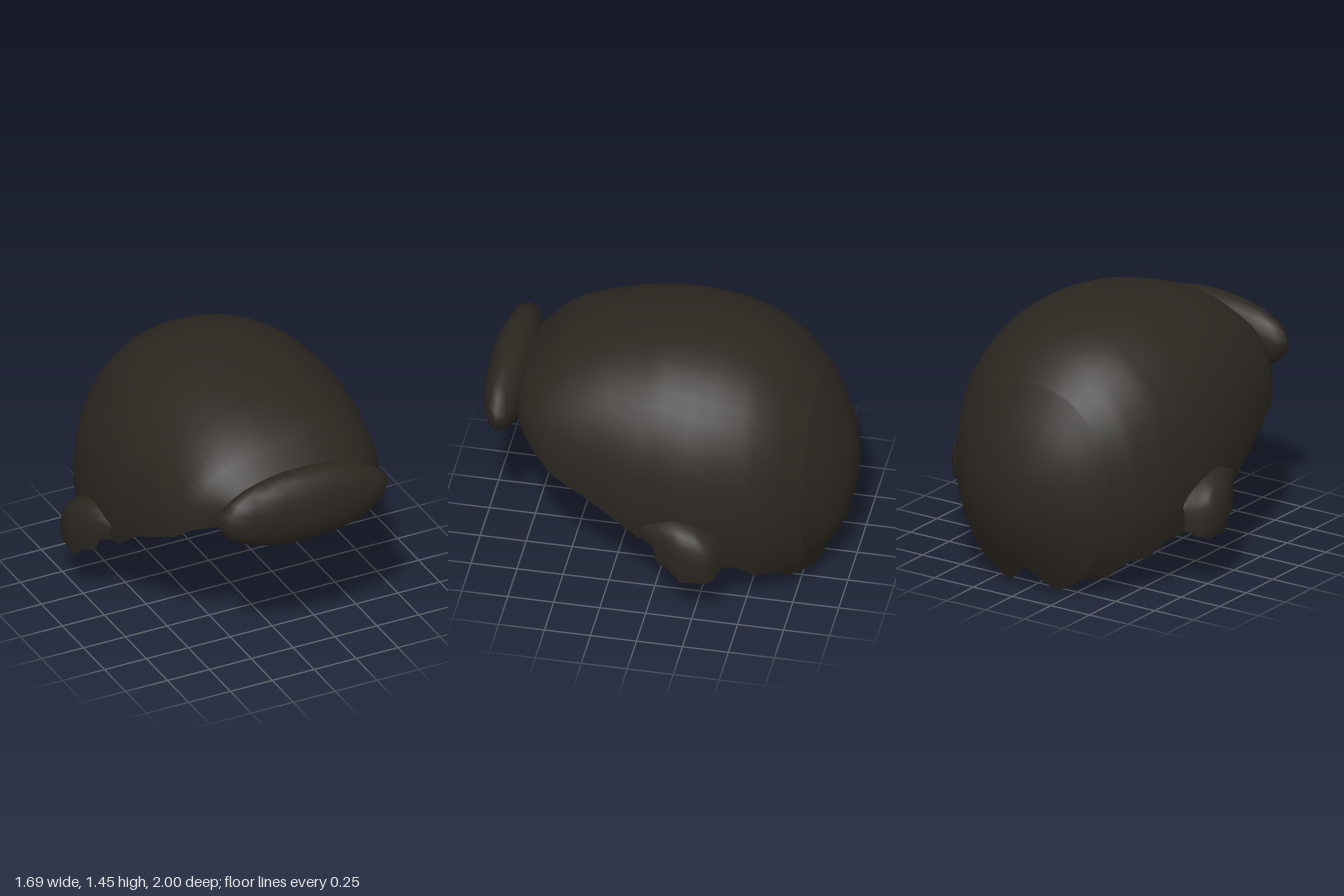
import * as THREE from 'three';
import { mergeVertices } from 'three/addons/utils/BufferGeometryUtils.js';

const hair = new THREE.MeshStandardMaterial({ color: 0x2b2620, side: THREE.DoubleSide });

// Skin a list of equally long cross-sections (arrays of Vector3), ordered back to front.
function loft(sections) {
  const n = sections[0].length;
  const index = [];
  for (let i = 0; i < sections.length - 1; i++) {
    for (let j = 0; j < n - 1; j++) {
      const a = i * n + j, c = a + n;
      index.push(a, c, a + 1, a + 1, c, c + 1);
    }
  }
  let geometry = new THREE.BufferGeometry().setFromPoints(sections.flat());
  geometry.setIndex(index);
  geometry = mergeVertices(geometry, 1e-4);
  geometry.computeVertexNormals();
  return geometry;
}

function add(parent, name, geometry) {
  const mesh = new THREE.Mesh(geometry, hair);
  mesh.name = name;
  parent.add(mesh);
  return mesh;
}

// Hair cap sections: z, half width, top, height of widest point, full bottom, ragged rim height
const CAP = [
  [-1, 0, 0.55, 0.55, 0.55, 0.55],
  [-0.99, 0.13, 0.7, 0.55, 0.42, 0.42],
  [-0.95, 0.27, 0.86, 0.55, 0.26, 0.26],
  [-0.88, 0.38, 1.01, 0.55, 0.13, 0.13],
  [-0.8, 0.48, 1.14, 0.55, -0.03, 0],
  [-0.79, 0.49, 1.15, 0.55, -0.04, 0.1],
  [-0.7, 0.57, 1.24, 0.56, -0.09, 0.1],
  [-0.65, 0.605, 1.29, 0.56, -0.13, 0.2],
  [-0.55, 0.66, 1.35, 0.57, -0.16, 0.2],
  [-0.47, 0.69, 1.385, 0.58, -0.17, 0.29],
  [-0.32, 0.725, 1.43, 0.6, -0.17, 0.3],
  [-0.2, 0.738, 1.445, 0.62, -0.15, 0.33],
  [-0.05, 0.738, 1.45, 0.65, -0.1, 0.45],
  [0.06, 0.728, 1.44, 0.68, -0.05, 0.46],
  [0.25, 0.7, 1.41, 0.72, 0.05, 0.61],
  [0.4, 0.66, 1.365, 0.76, 0.2, 0.68],
  [0.55, 0.615, 1.31, 0.8, 0.4, 0.75],
  [0.65, 0.55, 1.23, 0.86, 0.55, 0.83],
  [0.75, 0.42, 1.13, 0.93, 0.7, 0.87],
  [0.82, 0.2, 1.05, 0.96, 0.8, 0.9],
];

// Arch over the head: slightly squared above the widest point, round below, stopped at the rim.
function capSection([z, w, top, mid, bottom, rim]) {
  const drop = mid - bottom;
  const end = drop > 0 ? Math.acos(Math.max(-1, (rim - mid) / drop)) : Math.PI;
  const points = [];
  for (let j = 0; j <= 28; j++) {
    const t = end * (j / 14 - 1);
    const s = Math.sin(t), c = Math.cos(t);
    const power = c > 0 ? 2 / 2.2 : 1;
    const x = w * Math.sign(s) * Math.abs(s) ** power;
    const y = c > 0 ? mid + (top - mid) * c ** power : mid + drop * c;
    points.push(new THREE.Vector3(x, y, z));
  }
  return points;
}

// Side lock sections: z, top, outermost x, ragged lower edge
const LOCK = [
  [-0.41, 0.47, 0.71, 0.34],
  [-0.38, 0.52, 0.79, 0.31],
  [-0.34, 0.56, 0.842, 0.3],
  [-0.27, 0.6, 0.845, 0.3],
  [-0.2, 0.625, 0.842, 0.29],
  [-0.13, 0.63, 0.82, 0.36],
  [-0.06, 0.61, 0.785, 0.37],
  [-0.04, 0.6, 0.77, 0.46],
  [0.03, 0.57, 0.73, 0.48],
];

// Flap leaving the cap at the top, bulging outward and hanging down.
function lockSection([z, top, outer, low]) {
  const inner = 0.7, out = outer - inner;
  const h = top - low;
  return [[0, 0], [0.4, 0.03], [0.72, 0.12], [0.92, 0.3], [1, 0.5], [1, 0.75], [0.88, 1]]
    .map(([u, v]) => new THREE.Vector3(inner + out * u, top - h * v, z));
}

export function createModel() {
  const model = new THREE.Group();
  model.name = 'hair';

  add(model, 'hairCap', loft(CAP.map(capSection)));

  // Rolled fringe across the forehead
  const fringe = add(model, 'fringe', new THREE.SphereGeometry(1, 16, 12));
  fringe.scale.set(0.505, 0.215, 0.13);
  fringe.position.set(0, 0.965, 0.867);

  // Locks over the ears
  const lock = loft(LOCK.map(lockSection));
  for (const side of [1, -1]) {
    add(model, side > 0 ? 'leftSideLock' : 'rightSideLock', lock).scale.x = side;
  }
  return model;
}
